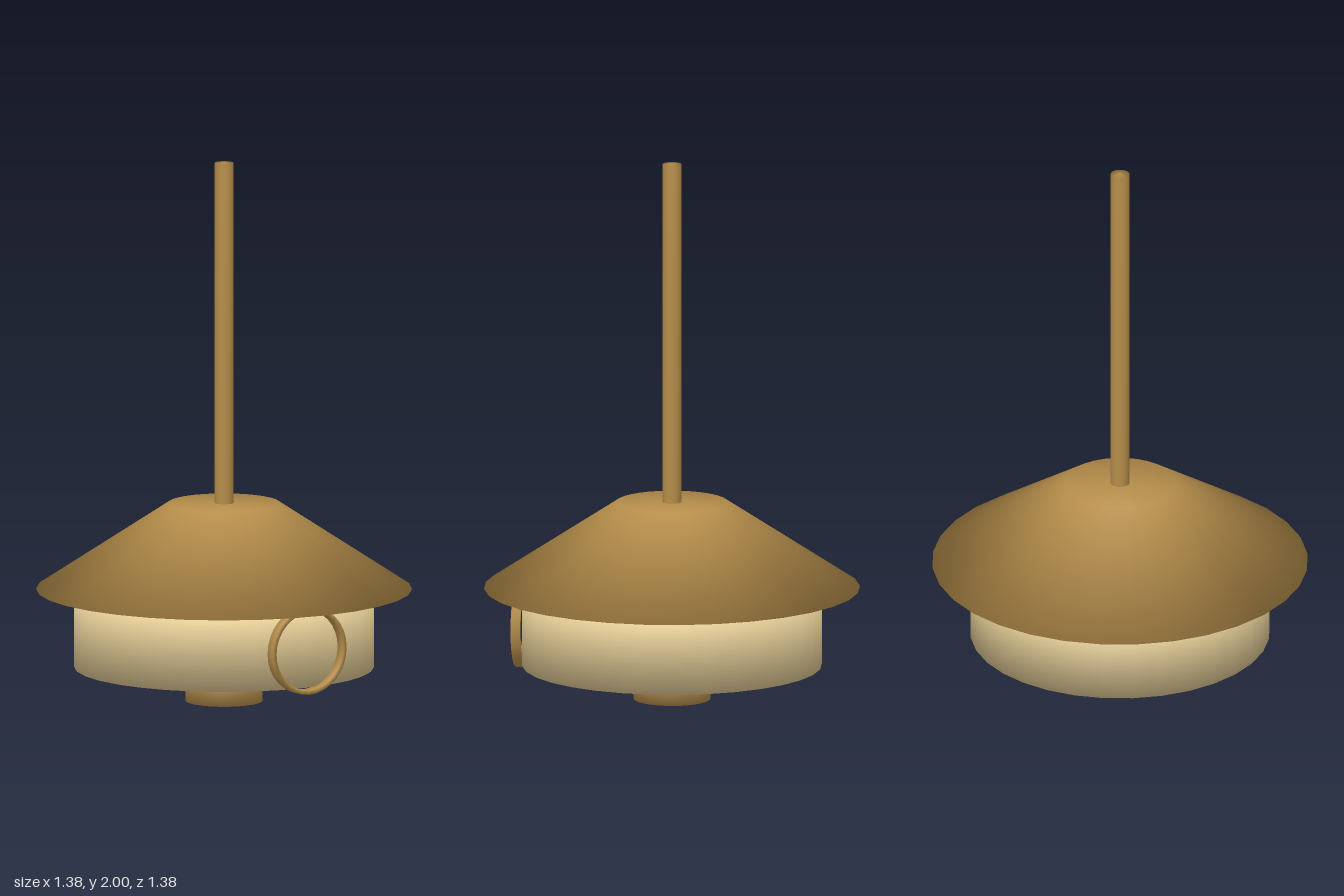
import * as THREE from 'three';
import { mergeVertices } from 'three/addons/utils/BufferGeometryUtils.js';

// Weld all corners so shading runs smoothly over the edges
function weld(geometry) {
  geometry.deleteAttribute('uv');
  geometry.deleteAttribute('normal');
  const welded = mergeVertices(geometry, 1e-4);
  welded.computeVertexNormals();
  return welded;
}

export function createModel() {
  const model = new THREE.Group();
  model.name = 'hangingLamp';

  const brass = new THREE.MeshStandardMaterial({ color: 0xb58d4a });
  brass.name = 'brass';
  const cream = new THREE.MeshStandardMaterial({ color: 0xe2cb95 });
  cream.name = 'cream';

  // Upright round part between two heights
  function round(name, material, topRadius, bottomRadius, bottom, top, sides = 32) {
    const geometry = new THREE.CylinderGeometry(topRadius, bottomRadius, top - bottom, sides);
    const mesh = new THREE.Mesh(weld(geometry), material);
    mesh.name = name;
    mesh.position.y = (bottom + top) / 2;
    model.add(mesh);
  }

  round('rod', brass, 0.035, 0.035, 0.735, 2, 16);
  round('shade', brass, 0.205, 0.69, 0.415, 0.735);
  round('drum', cream, 0.55, 0.55, 0.125, 0.393);
  round('bottomCap', brass, 0.142, 0.142, 0, 0.105);

  // Flat-sided open ring on the front of the drum
  const profile = [[0.145, -0.0175], [0.162, -0.0175], [0.162, 0.0175], [0.145, 0.0175], [0.145, -0.0175]]
    .map(([r, h]) => new THREE.Vector2(r, h));
  const ring = new THREE.Mesh(weld(new THREE.LatheGeometry(profile, 32)), brass);
  ring.name = 'frontRing';
  ring.rotation.x = Math.PI / 2;
  ring.position.set(0, 0.265, 0.557);
  model.add(ring);

  return model;
}
